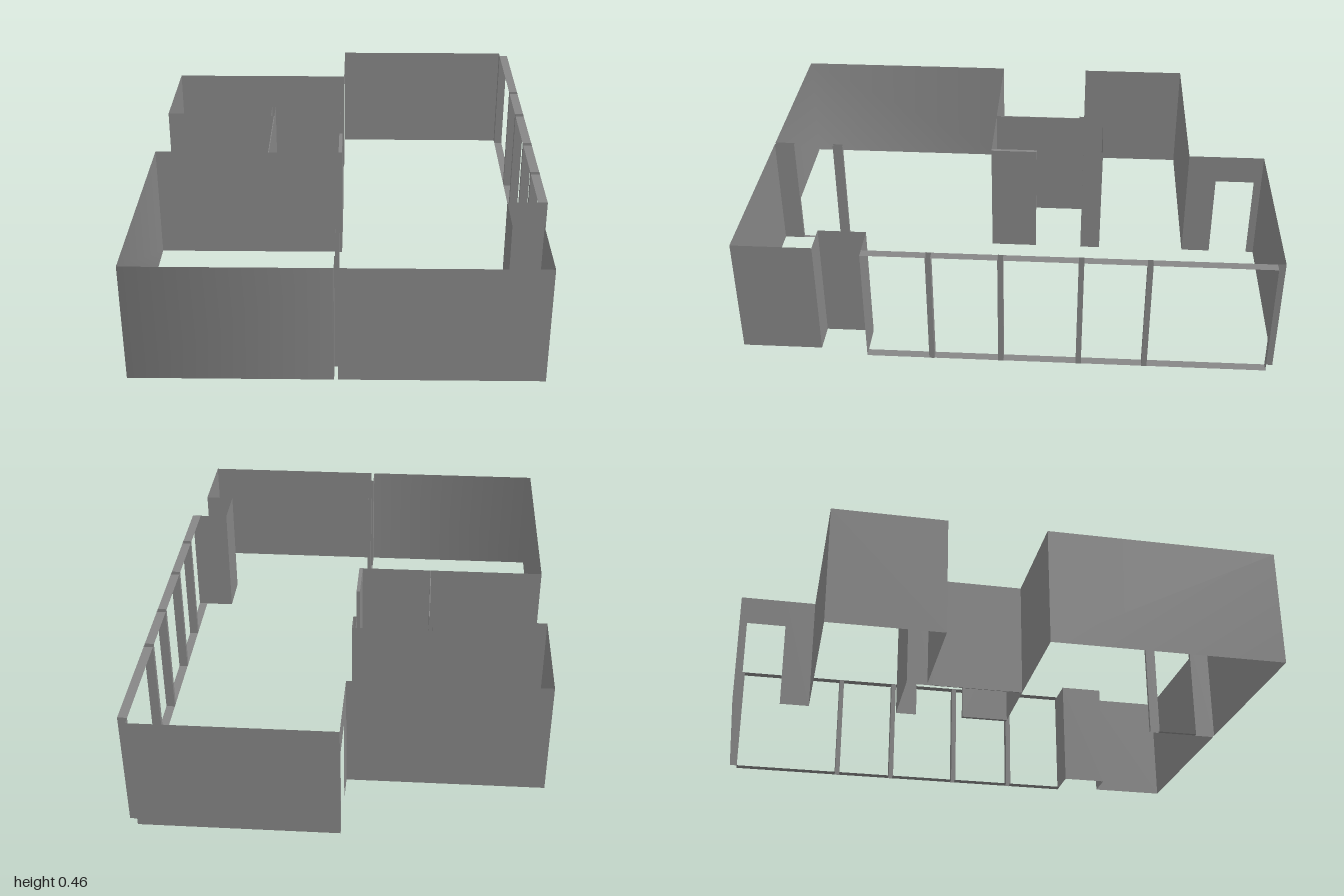
import * as THREE from 'three';

const H = 0.46;   // wall height
const material = new THREE.MeshStandardMaterial({ color: 0x868686, side: THREE.DoubleSide });

export function createModel() {
  const model = new THREE.Group();

  const add = (name, geometry, parent = model) => {
    const mesh = new THREE.Mesh(geometry, material);
    mesh.name = name;
    parent.add(mesh);
    return mesh;
  };

  // Thin upright sheet between two plan points [x, z]
  const sheet = (name, [x0, z0], [x1, z1], parent, y0 = 0, y1 = H) => {
    const mesh = add(name, new THREE.PlaneGeometry(Math.hypot(x1 - x0, z1 - z0), y1 - y0), parent);
    mesh.position.set((x0 + x1) / 2, (y0 + y1) / 2, (z0 + z1) / 2);
    mesh.rotation.y = -Math.atan2(z1 - z0, x1 - x0);
  };

  // Run of flat sheets through a list of plan points
  const wallRun = (name, points) => {
    const group = new THREE.Group();
    group.name = name;
    for (let i = 1; i < points.length; i++) sheet(name + 'Panel', points[i - 1], points[i], group);
    model.add(group);
  };

  // Run of sheets whose shading blends around the corners
  const smoothRun = (name, points) => {
    const geometry = new THREE.PlaneGeometry(1, 1, points.length - 1, 1);
    const position = geometry.attributes.position;
    for (let i = 0; i < position.count; i++) {
      const [x, z] = points[i % points.length];
      position.setXYZ(i, x, i < points.length ? H : 0, z);
    }
    geometry.computeVertexNormals();
    add(name, geometry);
  };

  // Hollow post without caps
  const post = (name, x0, x1, z0, z1) =>
    wallRun(name, [[x0, z0], [x1, z0], [x1, z1], [x0, z1], [x0, z0]]);

  // Solid full-height block
  const block = (name, x0, x1, z0, z1) =>
    add(name, new THREE.BoxGeometry(x1 - x0, H, z1 - z0)).position.set((x0 + x1) / 2, H / 2, (z0 + z1) / 2);

  // Flat horizontal strip lining an opening
  const strip = (name, x0, x1, z0, z1, y) => {
    const mesh = add(name, new THREE.PlaneGeometry(x1 - x0, z1 - z0));
    mesh.rotation.x = -Math.PI / 2;
    mesh.position.set((x0 + x1) / 2, y, (z0 + z1) / 2);
  };

  const P0 = -0.024, P1 = -0.01;   // faces of the inner partition
  const X0 = 0.725, X1 = 0.76;     // faces of the window wall
  const D = -0.013;                // door wall

  // Outer walls: front corner with the column niche
  wallRun('frontWall', [[P1, 1], [X0, 1], [X0, 0.7], [0.61, 0.7], [0.61, 0.52], [X1, 0.52]]);
  // Large room corner, side recess and back room
  smoothRun('largeRoomWall', [[-0.76, 0.105], [-0.76, 1], [P0, 1]]);
  wallRun('roomDivider', [[-0.76, 0.105], [P1, 0.105]]);
  wallRun('backRoomWall', [[-0.32, -0.27], [-0.76, -0.27], [-0.76, -0.7], [D, -0.7]]);
  wallRun('backWall', [[D, -1], [X0, -1], [X0, -0.97], [X1, -0.97]]);

  // Doorway at the back
  const doorWall = new THREE.Group();
  doorWall.name = 'doorWall';
  sheet('doorSide', [D, -0.7], [D, -0.815], doorWall);
  sheet('doorSide', [D, -0.97], [D, -1], doorWall);
  sheet('doorLintel', [D, -0.815], [D, -0.97], doorWall, 0.345, H);
  model.add(doorWall);

  // Window wall: mullions with sill and head strips between them
  const mullions = [[-0.53, -0.51], [-0.285, -0.265], [0.005, 0.025], [0.265, 0.285]];
  mullions.forEach(([a, b]) => post('windowMullion', X0, X1, a, b));
  const edges = [-0.97, ...mullions.flat(), 0.52];
  for (let i = 0; i < edges.length; i += 2) {
    strip('windowSill', X0, X1, edges[i], edges[i + 1], 0.001);
    strip('windowHead', X0, X1, edges[i], edges[i + 1], H - 0.001);
  }

  // Partition at the front: stub open to the front slit, doorway, far post
  wallRun('partitionStub', [[P0, 1], [P0, 0.92], [P1, 0.92], [P1, 1]]);
  post('partitionPost', P0, P1, 0.72, 0.76);
  strip('doorThreshold', P0, P1, 0.76, 0.92, 0.001);

  // Small inner room
  block('innerPier', P0, P1, -0.08, 0.105);
  block('recessWall', -0.307, -0.304, -0.25, 0.105);
  post('innerDoorPost', P0, P1, -0.35, -0.27);
  post('innerCornerPost', -0.32, -0.305, -0.35, -0.25);
  wallRun('innerWall', [[-0.305, -0.35], [P0, -0.35]]);

  return model;
}
